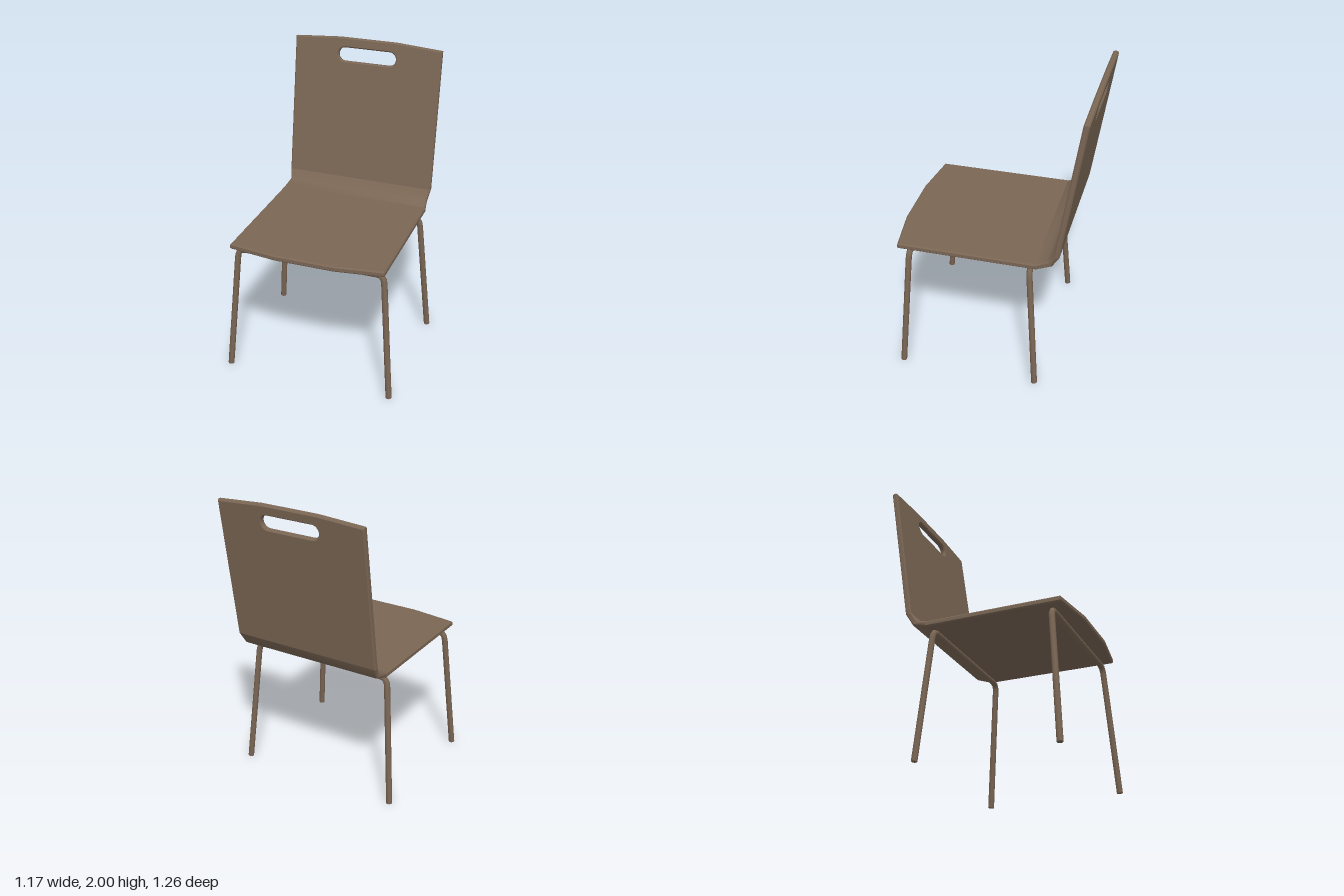
import * as THREE from 'three';
import { toCreasedNormals } from 'three/addons/utils/BufferGeometryUtils.js';

const HALF = 0.019;   // half thickness of the plywood
const BEVEL = 0.008;  // chamfer along its edges
const WIDTH = 0.52;   // half width of seat and back
const TILT = 0.155;   // lean of the back

// Skin a row of equal-sized rings (counter-clockwise about the path) and cap both ends
function loft(rings, crease) {
  const n = rings[0].length, index = [];
  rings.slice(1).forEach((_, i) => {
    for (let j = 0; j < n; j++) {
      const a = i * n + j, b = i * n + (j + 1) % n;
      index.push(a, b, a + n, b, b + n, a + n);
    }
  });
  const end = (rings.length - 1) * n;
  for (let j = 1; j < n - 1; j++) {
    index.push(0, j + 1, j, end, end + j, end + j + 1);
  }
  const geometry = new THREE.BufferGeometry().setFromPoints(rings.flat());
  geometry.setIndex(index);
  return toCreasedNormals(geometry, crease);
}

// Flat chamfered board; v runs away from the bend, with a shallow crowned far edge
function board(start, side, crown, hole) {
  const shape = new THREE.Shape([
    [-WIDTH, start - BEVEL], [WIDTH, start - BEVEL], [WIDTH, side],
    [0.2, crown], [-0.2, crown], [-WIDTH, side],
  ].map(([x, v]) => new THREE.Vector2(x, v)));
  if (hole) shape.holes.push(hole);
  const depth = 2 * (HALF - BEVEL);
  return new THREE.ExtrudeGeometry(shape, {
    depth, bevelThickness: BEVEL, bevelSize: BEVEL, bevelOffset: -BEVEL,
    bevelSegments: 1, curveSegments: 8,
  }).translate(0, 0, -depth / 2);
}

// Curved strip joining seat and back, slightly waisted in the middle
function bendGeometry() {
  const stations = [ // z, y, angle of the surface normal, half width, half thickness
    [-0.33, 0.93, 0, WIDTH, HALF],
    [-0.42, 0.96, 0.67, 0.506, HALF * 1.06],
    [-0.463, 1.03, Math.PI / 2 - TILT, WIDTH, HALF],
  ];
  const rings = stations.map(([z, y, angle, w, h]) => [
    [w - BEVEL, h], [w, h - BEVEL], [w, BEVEL - h], [w - BEVEL, -h],
    [BEVEL - w, -h], [-w, BEVEL - h], [-w, h - BEVEL], [BEVEL - w, h],
  ].map(([x, t]) => new THREE.Vector3(x, y + t * Math.cos(angle), z + t * Math.sin(angle))));
  return loft(rings, 0.75);
}

// Bent tube: two splayed legs joined by a crossbar under the seat
function legFrameGeometry(footZ, topZ) {
  const half = [[0.565, 0.002], [0.5, 0.82], [0.494, 0.853], [0.477, 0.875], [0.445, 0.882]]
    .map(([x, y]) => new THREE.Vector3(x, y, THREE.MathUtils.lerp(footZ, topZ, y / 0.882)));
  const mirrored = half.map((p) => new THREE.Vector3(-p.x, p.y, p.z)).reverse();
  const path = [...half, ...mirrored];
  const radius = 0.02, sides = 8;
  const direction = (a, b) => b.clone().sub(a).normalize();
  const rings = path.map((p, i) => {
    const tangent = new THREE.Vector3();
    if (i > 0) tangent.add(direction(path[i - 1], p));
    if (i < path.length - 1) tangent.add(direction(p, path[i + 1]));
    tangent.normalize();
    const normal = new THREE.Vector3(0, 0, 1).projectOnPlane(tangent).normalize();
    const binormal = tangent.clone().cross(normal);
    return Array.from({ length: sides }, (_, j) => {
      const a = (j + 0.5) / sides * Math.PI * 2;
      return p.clone()
        .addScaledVector(normal, radius * Math.cos(a))
        .addScaledVector(binormal, radius * Math.sin(a));
    });
  });
  return loft(rings, 0.9);
}

export function createModel() {
  const chair = new THREE.Group();
  chair.name = 'chair';
  const brown = new THREE.MeshStandardMaterial({ color: 0x7a6654 });
  brown.name = 'warm brown';
  const add = (name, geometry) => {
    const mesh = new THREE.Mesh(geometry, brown);
    mesh.name = name;
    chair.add(mesh);
    return mesh;
  };

  // Seat
  const seat = add('seat', board(-0.33, 0.585, 0.63).rotateX(Math.PI / 2));
  seat.position.y = 0.93;

  // Bend
  add('bend', bendGeometry());

  // Back with a rounded hand slot
  const slot = new THREE.Path();
  slot.absarc(0.158, 0.868, 0.047, -Math.PI / 2, Math.PI / 2);
  slot.absarc(-0.158, 0.868, 0.047, Math.PI / 2, Math.PI * 1.5);
  const back = add('backrest', board(0, 0.96, 0.982, slot).rotateX(-TILT));
  back.position.set(0, 1.03, -0.463);

  // Leg frames
  add('frontLegs', legFrameGeometry(0.575, 0.515));
  add('rearLegs', legFrameGeometry(-0.35, -0.287));
  return chair;
}
